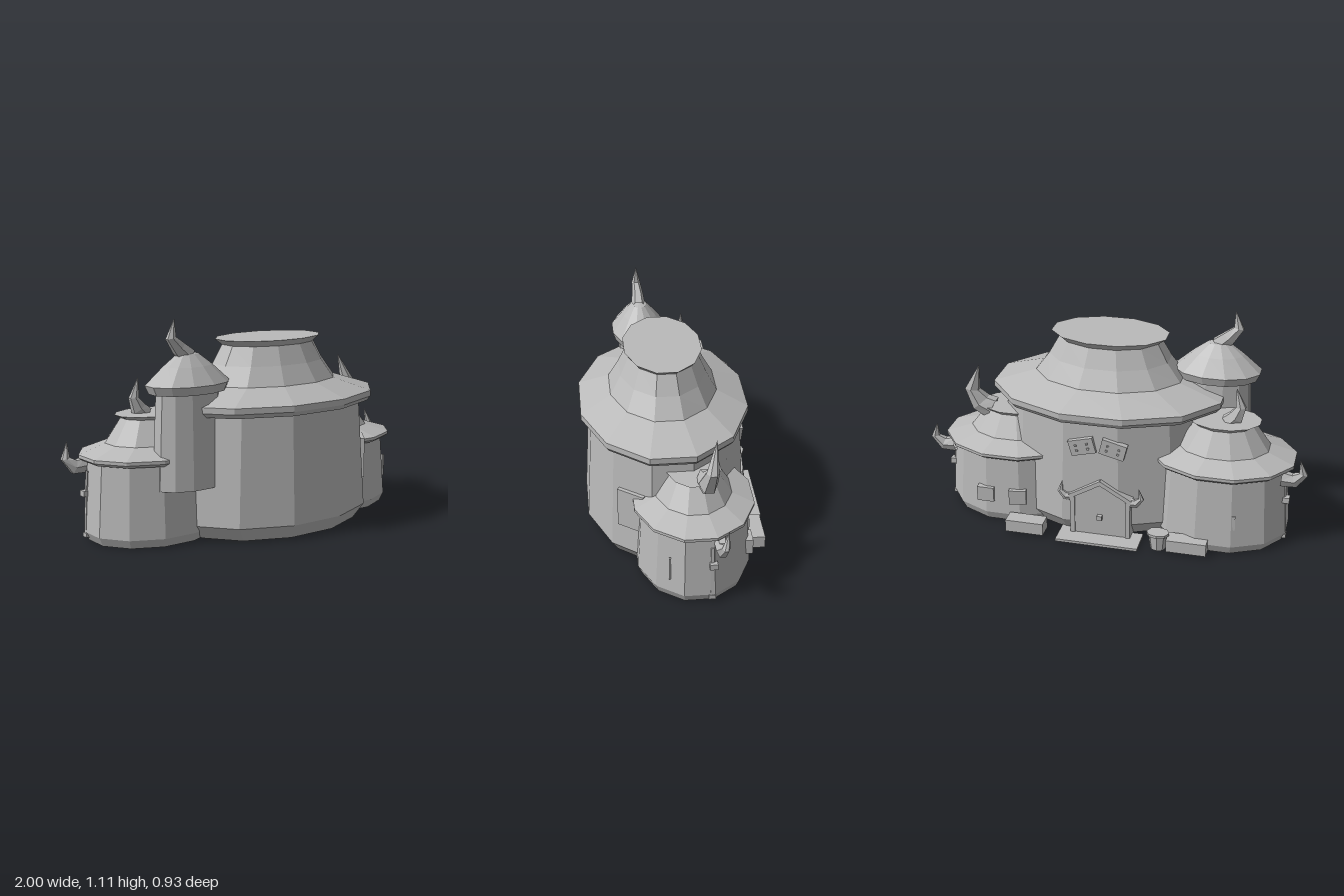
import * as THREE from 'three';

// walls and roofs are open shells, so both sides show
const stone = new THREE.MeshStandardMaterial({ color: 0xbababa, side: THREE.DoubleSide });
stone.name = 'plain grey';

const SIDES = 12;
const FLAT = Math.cos(Math.PI / SIDES);

// faceted mesh
function add(parent, name, geometry, x = 0, y = 0, z = 0) {
  const g = geometry.index ? geometry.toNonIndexed() : geometry;
  g.computeVertexNormals();
  const mesh = new THREE.Mesh(g, stone);
  mesh.name = name;
  mesh.position.set(x, y, z);
  parent.add(mesh);
  return mesh;
}

const box = (parent, name, w, h, d, x, y, z) => add(parent, name, new THREE.BoxGeometry(w, h, d), x, y, z);

// oval twelve-sided shell; profile of [half depth, y, own widening along x]
function oval(parent, name, profile, widen, x, z) {
  const pts = profile.map(([r, y]) => new THREE.Vector2(r / FLAT, y));
  const g = new THREE.LatheGeometry(pts, SIDES, Math.PI / SIDES);
  const pos = g.attributes.position;
  for (let i = 0; i < pos.count; i++) pos.setX(i, pos.getX(i) * (profile[i % profile.length][2] ?? widen));
  return add(parent, name, g, x, 0, z);
}

// curved tapering horn; rings of [x, y, z, radius], broader in the plane of the curve
function horn(parent, name, rings, sides = 6) {
  const pts = rings.map(r => new THREE.Vector3(r[0], r[1], r[2]));
  const pos = [], idx = [];
  const u = new THREE.Vector3(0, 0, 1);
  rings.forEach((ring, i) => {
    const t = pts[Math.min(i + 1, pts.length - 1)].clone().sub(pts[Math.max(i - 1, 0)]).setZ(0).normalize();
    const v = t.cross(u);
    for (let k = 0; k < sides; k++) {
      const a = k / sides * Math.PI * 2;
      const p = pts[i].clone().addScaledVector(u, Math.cos(a) * ring[3])
        .addScaledVector(v, Math.sin(a) * ring[3] * 1.3);
      pos.push(p.x, p.y, p.z);
      if (i === rings.length - 1) continue;
      const a0 = i * sides + k, b0 = i * sides + (k + 1) % sides;
      idx.push(a0, b0, a0 + sides, b0, b0 + sides, a0 + sides);
    }
  });
  const g = new THREE.BufferGeometry();
  g.setAttribute('position', new THREE.Float32BufferAttribute(pos, 3));
  g.setIndex(idx);
  return add(parent, name, g);
}

// small round hut with a flared roof
function hut(parent, name, x, z, s) {
  const g = new THREE.Group();
  g.name = name;
  parent.add(g);
  oval(g, 'hutWall', [[0.26, 0], [0.278, 0.045], [0.257, 0.38 * s]], 1.24, x, z);
  oval(g, 'hutRoof', [[0.256, 0.366 * s], [0.275, 0.366 * s], [0.292, 0.38 * s], [0.292, 0.395 * s],
    [0.185, 0.437 * s], [0.12, 0.546 * s], [0.132, 0.562 * s, 1.38], [0, 0.562 * s]], 1.25, x, z);
  return g;
}

export function createModel() {
  const model = new THREE.Group();
  model.name = 'hornedHall';

  // main hall
  oval(model, 'hallWall', [[0.36, 0], [0.405, 0.075], [0.375, 0.65]], 1.38, 0.08, 0.04);
  oval(model, 'hallRoof', [[0.374, 0.632], [0.405, 0.632], [0.42, 0.655], [0.42, 0.685], [0.267, 0.755],
    [0.215, 0.85, 1.45], [0.173, 0.945, 1.5], [0.192, 0.975, 1.56], [0, 0.975]], 1.43, 0.07, 0.044);
  const panel = box(model, 'sidePanel', 0.15, 0.21, 0.02, 0.553, 0.315, 0.24);
  panel.rotation.y = 0.927;

  // side huts
  const leftHut = hut(model, 'leftHut', 0.56, -0.06, 1);
  const rightHut = hut(model, 'rightHut', -0.56, -0.11, 1.11);

  // raised turret
  oval(model, 'turretWall', [[0.123, 0.28], [0.108, 0.77]], 1.54, -0.48, 0.117);
  oval(model, 'turretRoof', [[0.108, 0.752], [0.133, 0.752], [0.146, 0.795], [0.085, 0.88], [0.037, 0.937],
    [0, 0.95]], 1.52, -0.48, 0.117);

  // roof horns
  horn(model, 'turretHorn', [[-0.48, 0.92, 0.12, 0.038], [-0.53, 0.965, 0.12, 0.031],
    [-0.58, 1.02, 0.125, 0.022], [-0.56, 1.11, 0.125, 0.001]]);
  horn(leftHut, 'leftRoofHorn', [[0.67, 0.545, -0.11, 0.05], [0.73, 0.575, -0.115, 0.046],
    [0.77, 0.655, -0.13, 0.032], [0.72, 0.8, -0.153, 0.001]]);
  horn(rightHut, 'rightRoofHorn', [[-0.58, 0.61, -0.125, 0.038], [-0.615, 0.645, -0.125, 0.033],
    [-0.64, 0.7, -0.125, 0.022], [-0.615, 0.8, -0.125, 0.001]]);

  // wall horns, each above a post with a bracket
  for (const [side, parent, y, z] of [[1, leftHut, 0, -0.16], [-1, rightHut, 0.045, -0.215]]) {
    horn(parent, 'wallHorn', [[side * 0.87, y + 0.335, z, 0.034], [side * 0.935, y + 0.33, z, 0.03],
      [side * 0.978, y + 0.375, z - 0.01, 0.019], [side * 0.96, y + 0.455, z - 0.025, 0.001]]);
    const post = box(parent, 'post', 0.018, 0.29 + y, 0.016, side * 0.89, 0.165 + y / 2, z + 0.04);
    post.rotation.z = side * 0.05;
    box(parent, 'postBracket', 0.035, 0.03, 0.038, side * 0.897, 0.215 + y * 0.6, z + 0.035);
    box(parent, 'postFoot', 0.03, 0.022, 0.034, side * 0.893, 0.03, z + 0.04);
  }

  // slit windows
  box(leftHut, 'slitWindow', 0.014, 0.12, 0.01, 0.862, 0.185, 0.08);
  const slit = box(rightHut, 'slitWindow', 0.016, 0.08, 0.02, -0.66, 0.18, -0.368);
  slit.rotation.y = 0.15;

  // window boxes
  for (const [x, turn] of [[0.65, 0], [0.48, 0.2]]) {
    const w = box(leftHut, 'windowBox', 0.09, 0.08, 0.055, x, 0.155, -0.32);
    w.rotation.y = turn;
  }

  // gabled back gate
  const gate = new THREE.Group();
  gate.name = 'backGate';
  gate.position.x = 0.025;
  model.add(gate);
  const gable = new THREE.Shape([[-0.145, 0], [0.145, 0], [0.145, 0.215], [0, 0.3], [-0.145, 0.215]]
    .map(p => new THREE.Vector2(...p)));
  add(gate, 'gateDoor', new THREE.ExtrudeGeometry(gable, { depth: 0.08, bevelEnabled: false }), 0, 0, -0.37);
  for (const s of [-1, 1]) {
    const beam = box(gate, 'gableBeam', 0.19, 0.022, 0.09, s * 0.078, 0.27, -0.332);
    beam.rotation.z = -s * 0.53;
    box(gate, 'doorPost', 0.025, 0.22, 0.09, s * 0.145, 0.11, -0.332);
    horn(gate, 'gateHorn', [[s * 0.14, 0.215, -0.355, 0.02], [s * 0.185, 0.215, -0.357, 0.018],
      [s * 0.212, 0.245, -0.36, 0.012], [s * 0.2, 0.3, -0.36, 0.001]]);
  }
  box(gate, 'doorKnocker', 0.025, 0.025, 0.025, 0, 0.12, -0.38);
  box(gate, 'doorStep', 0.43, 0.014, 0.15, 0, 0.007, -0.39);

  // pair of tilted boards with studs
  for (const s of [-1, 1]) {
    const board = new THREE.Group();
    board.name = 'wallBoard';
    board.position.set(0.04 + s * 0.08, 0.505, -0.345);
    board.rotation.set(-0.05, 0, -s * 0.25);
    model.add(board);
    box(board, 'plank', 0.13, 0.085, 0.03, 0, 0, 0);
    for (let i = 0; i < 4; i++) {
      box(board, 'stud', 0.012, 0.01, 0.008, (i % 2 - 0.5) * 0.06, (i > 1 ? 1 : -1) * 0.014, -0.017);
    }
  }

  // bench, trough and barrel by the gate
  box(model, 'bench', 0.2, 0.065, 0.085, 0.413, 0.04, -0.4);
  box(model, 'trough', 0.205, 0.065, 0.085, -0.435, 0.04, -0.4);
  const barrel = new THREE.Group();
  barrel.name = 'barrel';
  barrel.position.set(-0.285, 0, -0.405);
  barrel.scale.x = 1.3;
  model.add(barrel);
  add(barrel, 'barrelBody', new THREE.CylinderGeometry(0.038, 0.03, 0.08, 8), 0, 0.04, 0);
  add(barrel, 'barrelRim', new THREE.CylinderGeometry(0.045, 0.045, 0.014, 8), 0, 0.087, 0);

  return model;
}
